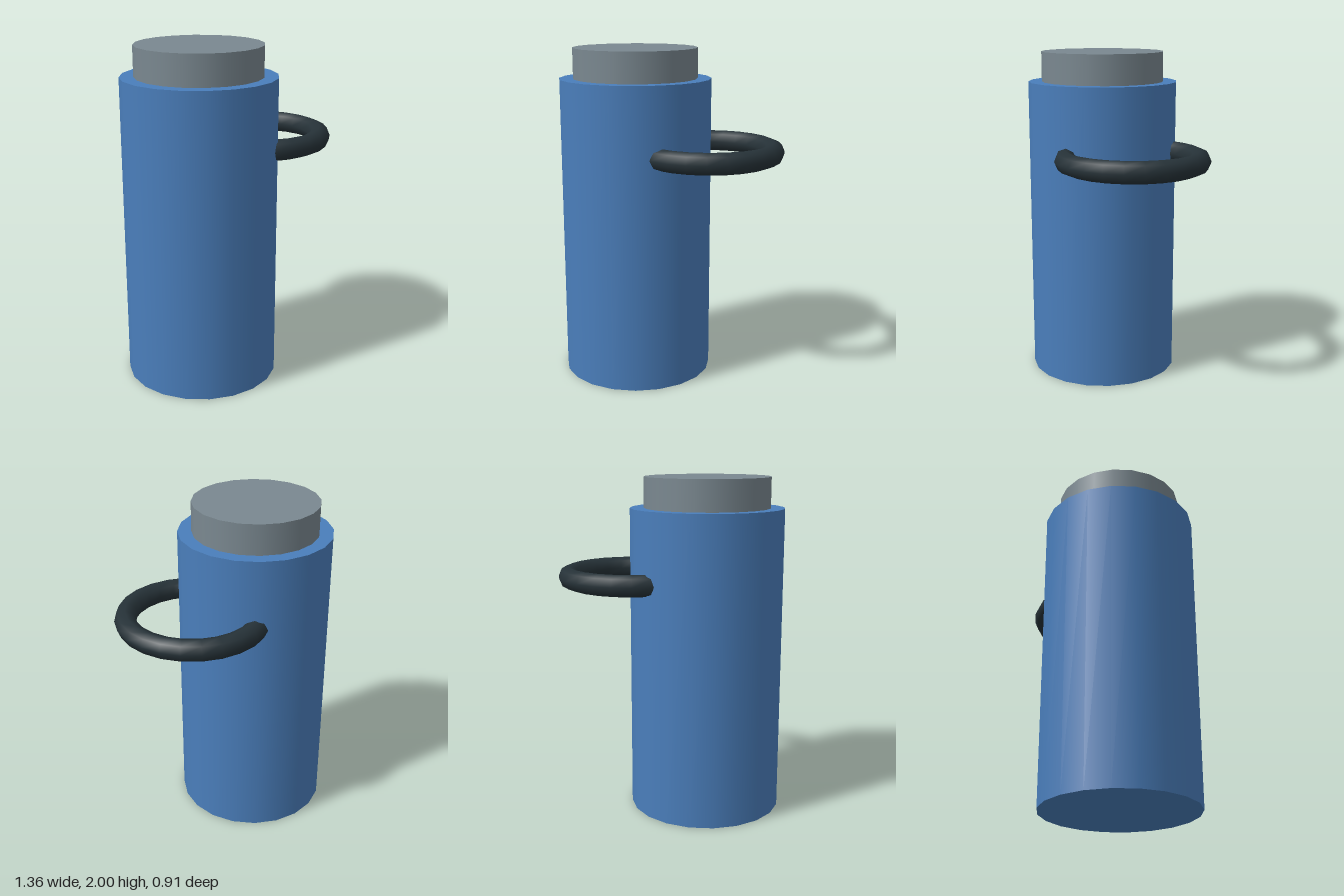
import * as THREE from 'three';

function material(name, color) {
  const m = new THREE.MeshStandardMaterial({ color });
  m.name = name;
  return m;
}

export function createModel() {
  const group = new THREE.Group();
  group.name = 'flask';
  const blue = material('blue', 0x4a7ebb);
  const grey = material('grey', 0x7a8890);
  const dark = material('charcoal', 0x263238);

  const axisX = -0.227, bodyRadius = 0.455, bodyHeight = 1.82;

  function add(name, geometry, mat, x, y) {
    const mesh = new THREE.Mesh(geometry, mat);
    mesh.name = name;
    mesh.position.set(x, y, 0);
    group.add(mesh);
    return mesh;
  }

  // Body and lid share one axis
  add('body', new THREE.CylinderGeometry(bodyRadius, bodyRadius, bodyHeight, 20), blue, axisX, bodyHeight / 2);
  add('lid', new THREE.CylinderGeometry(0.373, 0.373, 0.18, 20), grey, axisX, bodyHeight + 0.09);

  // Horizontal carrying ring, partly sunk into the body
  const ring = add('handleRing', new THREE.TorusGeometry(0.391, 0.064, 8, 24), dark, -axisX, 1.4);
  ring.rotation.x = Math.PI / 2;

  return group;
}
